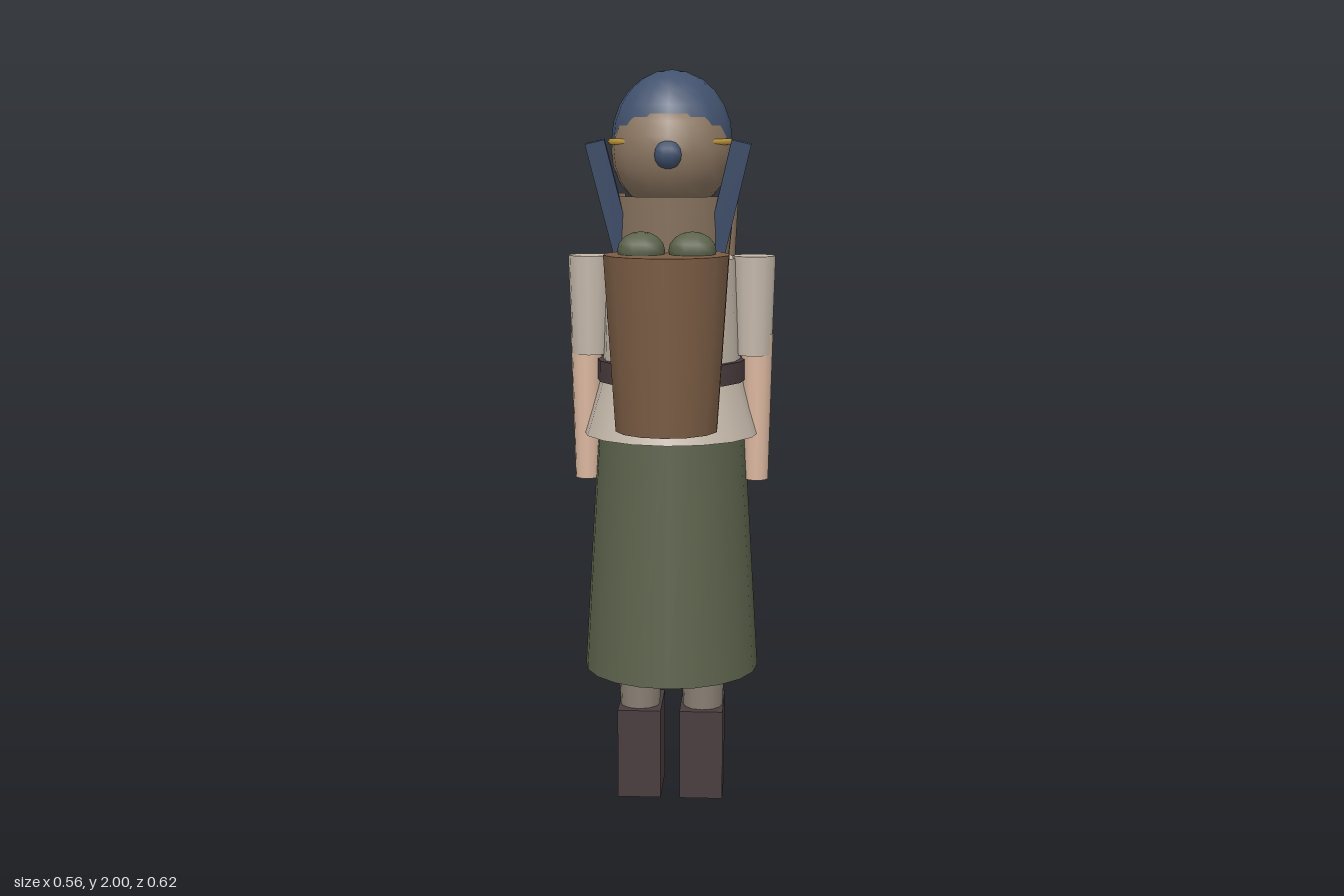
import * as THREE from 'three';

const COLORS = {
  navy: 0x42526e, brown: 0x8a7560, skin: 0xdcb8a0, gold: 0xc49a3e, cream: 0xc4b8aa,
  dark: 0x4a3c3e, basket: 0x7a5c44, green: 0x5c634c, orange: 0xb4661e, wool: 0x8a8074,
};
const BODY_Z = -0.07; // body axis; the figure faces -z, its basket is at +z

export function createModel() {
  const model = new THREE.Group();
  model.name = 'basketCarrier';
  const mats = {};
  const mat = (c, side = THREE.FrontSide) =>
    (mats[c + side] ??= new THREE.MeshStandardMaterial({ color: COLORS[c], side }));

  const add = (name, geo, color, x, y, z, side) => {
    const mesh = new THREE.Mesh(geo, mat(color, side));
    mesh.name = name;
    mesh.position.set(x, y, z);
    model.add(mesh);
    return mesh;
  };
  // Tapered cylinder standing between heights y0 and y1
  const column = (name, color, rTop, rBottom, y0, y1, x, z, sides = 12) =>
    add(name, new THREE.CylinderGeometry(rTop, rBottom, y1 - y0, sides), color, x, (y0 + y1) / 2, z);
  const box = (name, color, w, h, d, x, y, z) =>
    add(name, new THREE.BoxGeometry(w, h, d), color, x, y, z);
  const ball = (name, color, r, x, y, z, w = 10, h = 8) =>
    add(name, new THREE.SphereGeometry(r, w, h), color, x, y, z);

  // Clothes on the body axis
  column('skirt', 'green', 0.2, 0.24, 0.37, 1.04, 0, BODY_Z, 20);
  column('tunicHem', 'cream', 0.19, 0.24, 1.03, 1.19, 0, BODY_Z, 16);
  column('torso', 'cream', 0.177, 0.19, 1.17, 1.505, 0, BODY_Z, 16);
  column('belt', 'dark', 0.203, 0.203, 1.175, 1.232, 0, BODY_Z, 16);
  box('buckle', 'gold', 0.066, 0.05, 0.03, 0, 1.2, -0.288);
  box('pouch', 'dark', 0.07, 0.11, 0.06, 0.205, 1.13, -0.137);

  // Head, hair and cap
  column('neck', 'brown', 0.07, 0.08, 1.49, 1.68, 0, BODY_Z);
  ball('face', 'skin', 0.15, 0, 1.785, -0.077, 16, 12);
  ball('hair', 'brown', 0.16, 0, 1.785, -0.055, 16, 12);
  const cap = add('cap',
    new THREE.SphereGeometry(0.162, 16, 6, 0, Math.PI * 2, 0, Math.PI / 2),
    'navy', 0, 1.815, -0.08, THREE.DoubleSide);
  cap.scale.y = 0.185 / 0.162;
  const band = add('capBand', new THREE.TorusGeometry(0.163, 0.009, 6, 24), 'gold', 0, 1.812, -0.077);
  band.rotation.x = Math.PI / 2;
  ball('hairKnot', 'navy', 0.04, 0, 1.78, 0.083);

  // Collar, open below the face
  const gap = 0.87;
  add('collar',
    new THREE.CylinderGeometry(0.172, 0.155, 0.175, 16, 1, true, Math.PI + gap, 2 * (Math.PI - gap)),
    'brown', 0, 1.585, -0.05, THREE.DoubleSide);

  // Basket on the back
  column('basket', 'basket', 0.165, 0.135, 1.07, 1.528, 0, 0.15, 14);

  // Mirrored parts
  for (const s of [-1, 1]) {
    column('leg', 'wool', 0.062, 0.055, 0.24, 0.4, s * 0.088, BODY_Z);
    box('boot', 'dark', 0.12, 0.252, 0.192, s * 0.086, 0.126, -0.092);
    column('sleeve', 'cream', 0.058, 0.05, 1.243, 1.51, s * 0.222, -0.072);
    column('arm', 'skin', 0.043, 0.033, 0.9, 1.3, s * 0.232, -0.072);
    ball('eye', 'navy', 0.014, s * 0.06, 1.755, -0.213, 8, 6);
    box('strap', 'dark', 0.048, 0.31, 0.02, s * 0.095, 1.355, -0.24);

    // Tapered tube with a bead under it
    const tube = column('tube', 'brown', 0.036, 0.018, 1.29, 1.655, s * 0.14, -0.189, 8);
    tube.rotation.x = -0.055;
    ball('bead', 'orange', 0.032, s * 0.14, 1.28, -0.2);

    // Ribbon leaning out and back
    const ribbon = box('ribbon', 'navy', 0.052, 0.32, 0.016, s * 0.153, 1.66, 0.064);
    ribbon.rotation.set(0.18, 0, -s * 0.23);

    const produce = ball('produce', 'green', 0.062, s * 0.066, 1.537, 0.148);
    produce.scale.y = 0.8;
  }
  return model;
}
